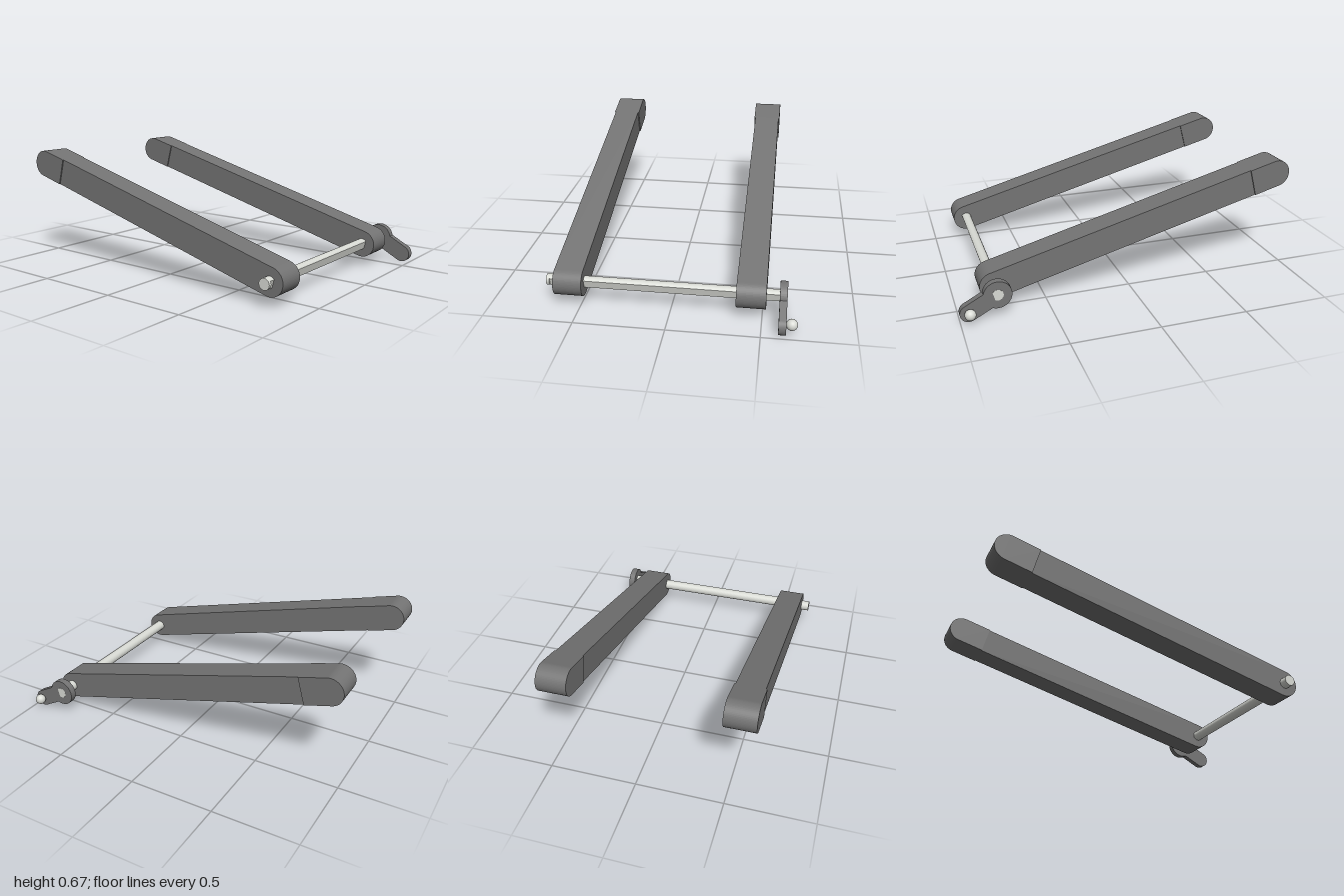
import * as THREE from 'three';

const PIVOT = { y: 0.134, z: 0.792 };
const TILT = Math.PI / 12;

// Extrudes a side profile (local x runs backward, y up) between two x positions, turned about the pivot
function slab(name, shape, x0, x1, angle, material, curveSegments = 16) {
  const geometry = new THREE.ExtrudeGeometry(shape, { depth: x1 - x0, bevelEnabled: false, curveSegments });
  geometry.rotateZ(angle);
  geometry.rotateY(Math.PI / 2);
  const mesh = new THREE.Mesh(geometry, material);
  mesh.position.set(x0, PIVOT.y, PIVOT.z);
  mesh.name = name;
  return mesh;
}

export function createModel() {
  const group = new THREE.Group();
  group.name = 'crankArms';
  const darkGrey = new THREE.MeshStandardMaterial({ color: 0x747474 });
  darkGrey.name = 'darkGrey';
  const lightMetal = new THREE.MeshStandardMaterial({ color: 0xd8dad4 });
  lightMetal.name = 'lightMetal';

  // Two long arms with round ends and slightly wider caps
  const R = 0.08, seam = 1.61, tip = 1.77;
  const armShape = new THREE.Shape();
  armShape.absarc(0, 0, R, Math.PI / 2, Math.PI * 1.5, false);
  armShape.lineTo(seam, -R);
  armShape.lineTo(seam, R);
  const capShape = new THREE.Shape();
  capShape.moveTo(seam, R);
  capShape.lineTo(seam, -R);
  capShape.absarc(tip, 0, R, -Math.PI / 2, Math.PI / 2, false);
  for (const [side, x] of [['right', -0.56], ['left', 0.44]]) {
    group.add(slab(side + 'Arm', armShape, x - 0.08, x + 0.08, TILT, darkGrey));
    group.add(slab(side + 'ArmCap', capShape, x - 0.0865, x + 0.0865, TILT, darkGrey));
  }

  // Shaft with one flat along the front, and a fully round end
  const r = 0.032, a = 0.83;
  const shaftShape = new THREE.Shape();
  shaftShape.absarc(0, 0, r, Math.PI + a, Math.PI * 3 - a, false);
  group.add(slab('shaft', shaftShape, -0.675, 0.631, TILT, lightMetal, 24));
  const endShape = new THREE.Shape();
  endShape.absarc(0, 0, r, 0, Math.PI * 2, false);
  group.add(slab('shaftEnd', endShape, -0.69, -0.672, 0, lightMetal));

  // Crank: round hub with a lever running forward and down
  const hub = 0.079, lever = 0.05, dz = 0.158, dy = -0.084;
  const b = Math.asin(lever / hub);
  const crankShape = new THREE.Shape();
  crankShape.absarc(0, 0, hub, b, Math.PI * 2 - b, false);
  crankShape.absarc(Math.hypot(dz, dy), 0, lever, -Math.PI / 2, Math.PI / 2, false);
  group.add(slab('crank', crankShape, 0.59, 0.63, Math.atan2(dy, -dz), darkGrey));

  // Ball knob on the end of the lever
  const knob = new THREE.Mesh(new THREE.SphereGeometry(0.031, 24, 16), lightMetal);
  knob.position.set(0.659, PIVOT.y + dy + 0.007, PIVOT.z + dz - 0.003);
  knob.name = 'knob';
  group.add(knob);

  return group;
}
